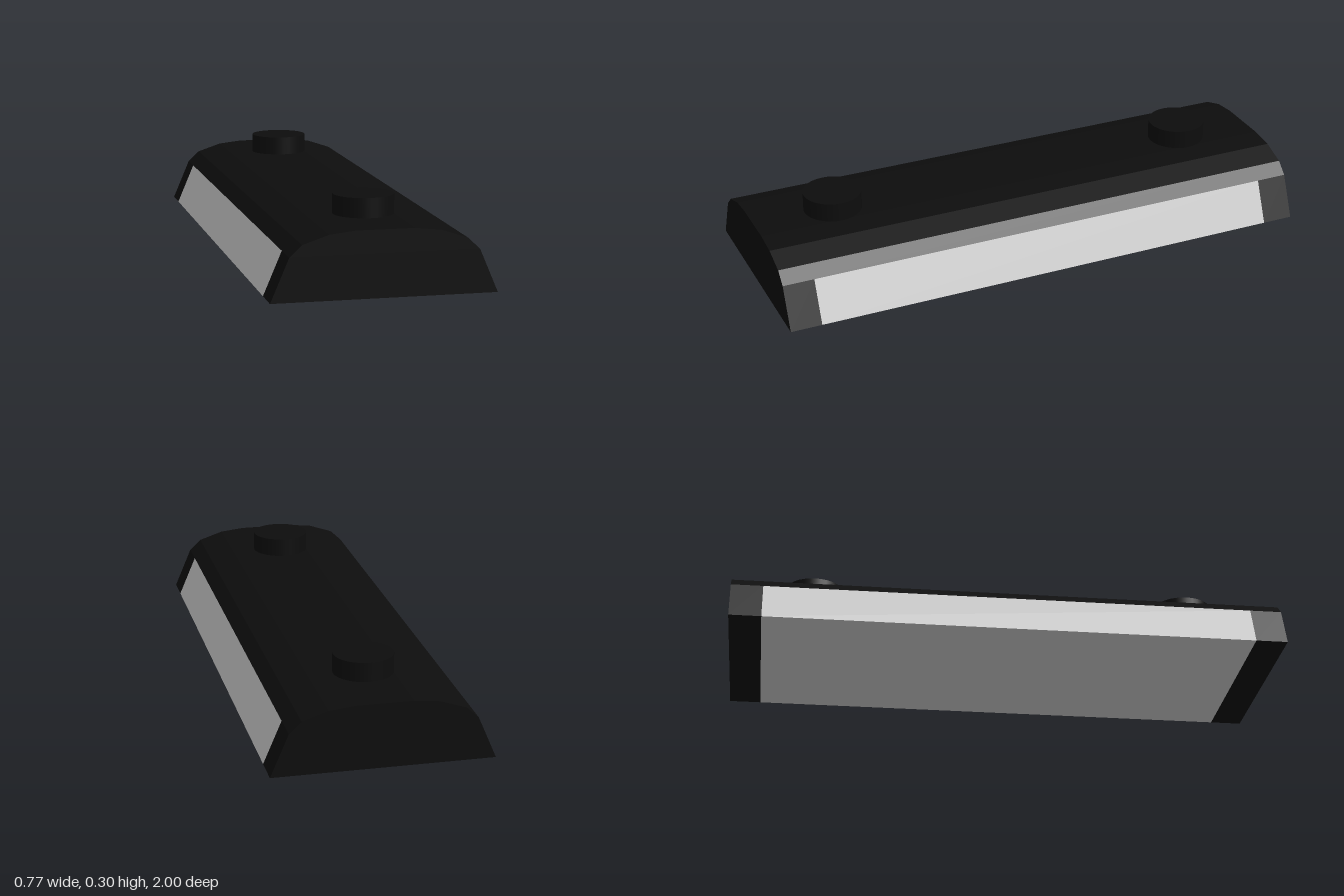
import * as THREE from 'three';

const black = new THREE.MeshStandardMaterial({ color: 0x0d0d0d });
const grey = new THREE.MeshStandardMaterial({ color: 0xcccccc });

const END = 0.885; // where the grey core stops and the end blocks start

// Right half of each cross-section, from bottom to top; mirrored to close it
const lowerHalf = [[0.387, 0], [0.323, 0.15]];
const upperHalf = [[0.323, 0.15], [0.28, 0.19], [0.19, 0.22], [0.1, 0.23]];

function extrudeHalf(name, half, z0, z1, material) {
  const mirrored = half.map(([x, y]) => [-x, y]).reverse();
  const shape = new THREE.Shape([...half, ...mirrored].map(([x, y]) => new THREE.Vector2(x, y)));
  const geometry = new THREE.ExtrudeGeometry(shape, { depth: z1 - z0, bevelEnabled: false });
  geometry.translate(0, 0, z0);
  const mesh = new THREE.Mesh(geometry, material);
  mesh.name = name;
  return mesh;
}

export function createModel() {
  const group = new THREE.Group();
  group.name = 'sensorBar';

  // Rounded top cover along the full length, over the sloping grey core
  group.add(extrudeHalf('topCover', upperHalf, -1, 1, black));
  group.add(extrudeHalf('core', lowerHalf, -END, END, grey));

  // Black blocks closing both ends
  group.add(extrudeHalf('frontEnd', lowerHalf, END, 1, black));
  group.add(extrudeHalf('backEnd', lowerHalf, -1, -END, black));

  // Round studs on top
  for (const side of [1, -1]) {
    const stud = new THREE.Mesh(new THREE.CylinderGeometry(0.106, 0.106, 0.08, 32), black);
    stud.position.set(0, 0.259, side * 0.7);
    stud.name = side > 0 ? 'frontStud' : 'backStud';
    group.add(stud);
  }
  return group;
}
